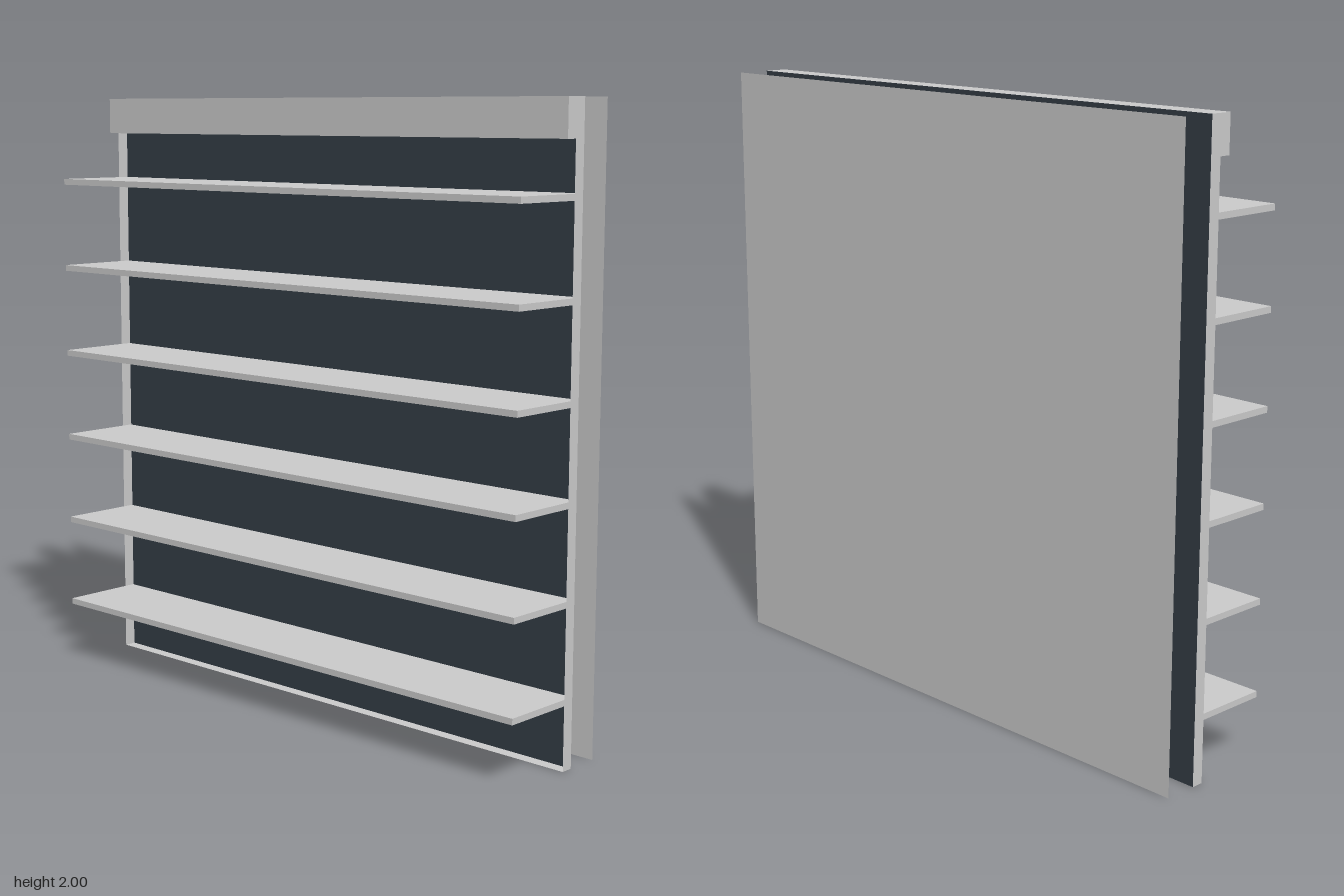
import * as THREE from 'three';

const WIDTH = 2;
const HEIGHT = 2;
const BACK_Z = -0.09; // dark panel
const RIM_Z = -0.05;  // front edge of the thin rim
const FRONT_Z = 0.2;  // front edge of the slats

export function createModel() {
  const model = new THREE.Group();
  const grey = new THREE.MeshStandardMaterial({ color: 0xcccccc });
  const greySheet = new THREE.MeshStandardMaterial({ color: 0xcccccc, side: THREE.DoubleSide });
  const darkSheet = new THREE.MeshStandardMaterial({ color: 0x343d46, side: THREE.DoubleSide });

  const add = (parent, name, geometry, material, x, y, z) => {
    const mesh = new THREE.Mesh(geometry, material);
    mesh.name = name;
    mesh.position.set(x, y, z);
    parent.add(mesh);
    return mesh;
  };

  // Full-size sheets: dark panel, and a grey backing sheet standing clear behind it
  const sheet = new THREE.PlaneGeometry(WIDTH, HEIGHT);
  add(model, 'darkPanel', sheet, darkSheet, 0, HEIGHT / 2, BACK_Z);
  add(model, 'backingSheet', sheet, greySheet, 0, HEIGHT / 2, -FRONT_Z);

  // Shallow rim of four thin walls around the dark panel, open at the front
  const rim = new THREE.Group();
  rim.name = 'rim';
  rim.position.set(0, HEIGHT / 2, (BACK_Z + RIM_Z) / 2);
  const wall = new THREE.PlaneGeometry(WIDTH, RIM_Z - BACK_Z).rotateX(-Math.PI / 2);
  wall.translate(0, HEIGHT / 2, 0);
  for (let i = 0; i < 4; i++) {
    add(rim, 'rimWall', wall, greySheet, 0, 0, 0).rotation.z = (i * Math.PI) / 2;
  }
  model.add(rim);

  // Header bar along the top
  const headerBack = BACK_Z + 0.002;
  const headerFront = -0.012;
  add(model, 'headerBar', new THREE.BoxGeometry(WIDTH, 0.12, headerFront - headerBack), grey,
    0, HEIGHT - 0.06, (headerFront + headerBack) / 2);

  // Six evenly spaced horizontal slats
  const slatBack = BACK_Z + 0.002;
  const slat = new THREE.BoxGeometry(WIDTH, 0.02, FRONT_Z - slatBack);
  for (let i = 0; i < 6; i++) {
    add(model, 'slat', slat, grey, 0, 0.214 + i * 0.3, (FRONT_Z + slatBack) / 2);
  }

  return model;
}
